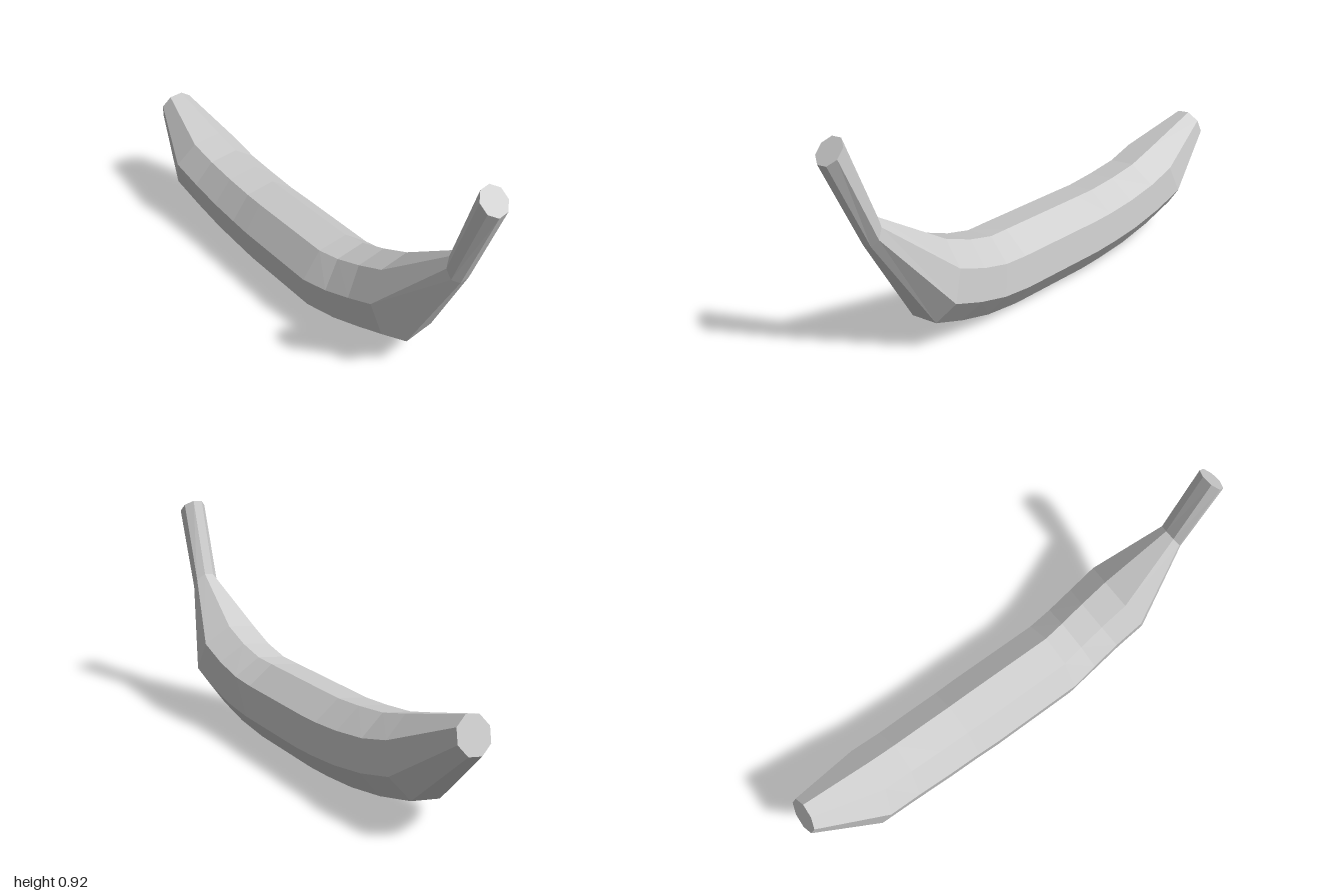
import * as THREE from 'three';

const SIDES = 8;
const TILT = THREE.MathUtils.degToRad(31.5); // angle of the first corner
const REACH = Math.sin(TILT + Math.PI / 4); // height of the topmost corner on a unit ring

// Each ring: [centre x, lower z, lower y, upper z, upper y], from the stem end to the blossom end
const stemRings = [
  [0.007, 1.0, 0.838, 0.92, 0.915],
  [0.015, 0.86, 0.5, 0.81, 0.597],
];
const bodyRings = [
  stemRings[1],
  [0.014, 0.65, 0.115, 0.54, 0.42],
  [0.01, 0.52, 0.066, 0.42, 0.37],
  [0.0, 0.38, 0.024, 0.31, 0.338],
  [-0.012, 0.22, 0.0, 0.22, 0.33],
  [-0.012, -0.16, 0.0, -0.18, 0.33],
  [-0.012, -0.28, 0.006, -0.27, 0.33],
  [-0.014, -0.43, 0.02, -0.4, 0.34],
  [-0.018, -0.6, 0.05, -0.54, 0.357],
  [-0.025, -0.77, 0.097, -0.66, 0.39],
  [-0.018, -1.0, 0.343, -0.95, 0.478],
];

// Corners of one tilted octagonal ring
function ringPoints([x, z0, y0, z1, y1]) {
  const uz = (z1 - z0) / 2 / REACH;
  const uy = (y1 - y0) / 2 / REACH;
  const r = Math.hypot(uz, uy);
  return Array.from({ length: SIDES }, (_, k) => {
    const a = TILT + (k * Math.PI * 2) / SIDES;
    const s = Math.sin(a);
    return [x + r * Math.cos(a), (y0 + y1) / 2 + uy * s, (z0 + z1) / 2 + uz * s];
  });
}

function makeMesh(name, points, index) {
  const geometry = new THREE.BufferGeometry();
  geometry.setAttribute('position', new THREE.Float32BufferAttribute(points.flat(), 3));
  geometry.setIndex(index);
  geometry.computeVertexNormals();
  const material = new THREE.MeshStandardMaterial({ color: 0xcccccc, flatShading: true });
  const mesh = new THREE.Mesh(geometry, material);
  mesh.name = name;
  return mesh;
}

// Faceted skin joining consecutive rings
function loft(name, rings) {
  const index = [];
  for (let i = 0; i < rings.length - 1; i++) {
    for (let k = 0; k < SIDES; k++) {
      const a = i * SIDES + k;
      const b = i * SIDES + ((k + 1) % SIDES);
      index.push(a, a + SIDES, b, b, a + SIDES, b + SIDES);
    }
  }
  return makeMesh(name, rings.flatMap(ringPoints), index);
}

// Flat end face
function cap(name, ring, facesFront) {
  const index = [];
  for (let k = 1; k < SIDES - 1; k++) {
    index.push(0, ...(facesFront ? [k, k + 1] : [k + 1, k]));
  }
  return makeMesh(name, ringPoints(ring), index);
}

export function createModel() {
  const group = new THREE.Group();
  group.name = 'banana';
  group.add(
    loft('stem', stemRings),
    loft('peel', bodyRings),
    cap('stemEnd', stemRings[0], true),
    cap('blossomEnd', bodyRings[bodyRings.length - 1], false),
  );
  return group;
}
